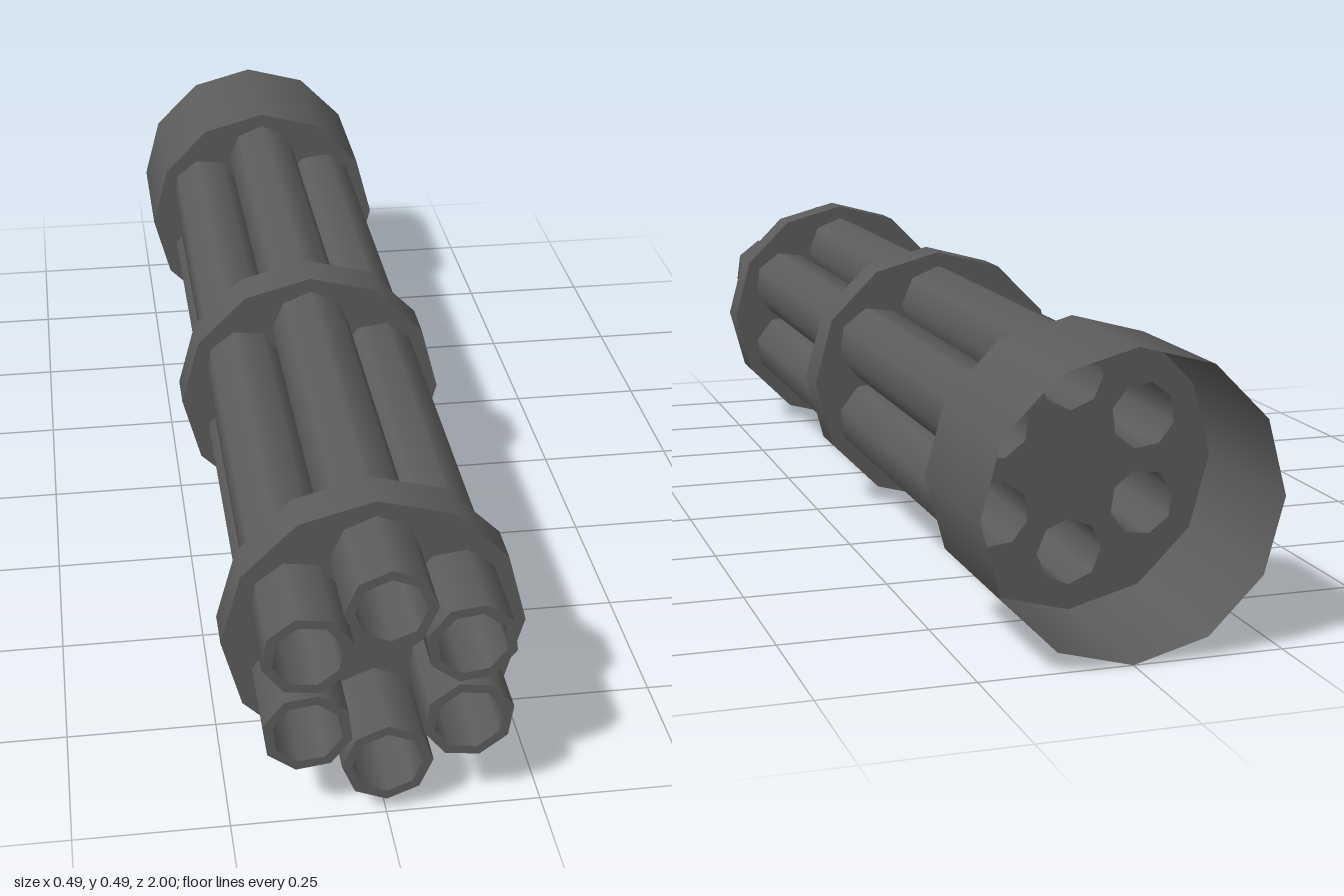
import * as THREE from 'three';

const BARREL_R = 0.073, BORE_R = 0.0565, ORBIT_R = 0.147, DRUM_R = 0.247;
const FRONT = 1, BACK = -1, PLATE_Z = -0.72;

export function createModel() {
  const model = new THREE.Group();
  model.name = 'rotaryBarrelCluster';

  const steel = new THREE.MeshStandardMaterial({ color: 0x5c5c5c, side: THREE.DoubleSide });
  steel.name = 'grey steel';
  const dark = new THREE.MeshStandardMaterial({ color: 0x333333, side: THREE.DoubleSide });
  dark.name = 'dark bore';

  const add = (parent, name, geometry, material = steel) => {
    const mesh = new THREE.Mesh(geometry, material);
    mesh.name = name;
    parent.add(mesh);
    return mesh;
  };

  // Smooth cylinder lying along z, between z0 and z1
  const tube = (r, sides, z0, z1, open = true) =>
    new THREE.CylinderGeometry(r, r, z1 - z0, sides, 1, open)
      .rotateX(Math.PI / 2).translate(0, 0, (z0 + z1) / 2);

  const polygon = (r, sides, cx = 0, cy = 0, turn = 0) =>
    Array.from({ length: sides }, (_, i) => {
      const a = turn + (i / sides) * Math.PI * 2;
      return new THREE.Vector2(cx + r * Math.cos(a), cy + r * Math.sin(a));
    });

  const angles = Array.from({ length: 6 }, (_, i) => Math.PI / 2 + (i * Math.PI) / 3);

  // Twelve-sided disc pierced by the six bores
  const plate = (z, flip = false) => {
    const shape = new THREE.Shape(polygon(DRUM_R, 12));
    for (const a of angles) {
      shape.holes.push(new THREE.Path(
        polygon(BORE_R, 8, ORBIT_R * Math.cos(a), ORBIT_R * Math.sin(a), a)));
    }
    const geometry = new THREE.ShapeGeometry(shape);
    if (flip) geometry.rotateY(Math.PI);
    return geometry.translate(0, 0, z);
  };

  // Six hollow barrels around the axis
  for (const a of angles) {
    const barrel = new THREE.Group();
    barrel.name = 'barrel';
    add(barrel, 'barrelOuter', tube(BARREL_R, 8, PLATE_Z, FRONT));
    add(barrel, 'barrelBore', tube(BORE_R, 8, PLATE_Z, FRONT));
    add(barrel, 'muzzleRim', new THREE.RingGeometry(BORE_R, BARREL_R, 8).translate(0, 0, FRONT));
    add(barrel, 'boreStop', new THREE.CircleGeometry(BORE_R, 8).translate(0, 0, 0.05), dark);
    barrel.position.set(ORBIT_R * Math.cos(a), ORBIT_R * Math.sin(a), 0);
    barrel.rotation.z = a;
    model.add(barrel);
  }

  // Central spindle, ending just proud of the front collar
  add(model, 'spindle', tube(BARREL_R, 8, PLATE_Z, 0.854, false));

  // Clamping collars
  for (const [z0, z1] of [[0.78, 0.852], [0.011, 0.09]]) {
    const collar = new THREE.Group();
    collar.name = 'collar';
    add(collar, 'collarBand', tube(DRUM_R, 12, z0, z1));
    add(collar, 'collarFront', plate(z1));
    add(collar, 'collarBack', plate(z0, true));
    model.add(collar);
  }

  // Rear drum, thin-walled and open at the back
  const drum = new THREE.Group();
  drum.name = 'rearDrum';
  add(drum, 'drumWall', tube(DRUM_R, 12, BACK, PLATE_Z));
  add(drum, 'drumPlate', plate(PLATE_Z));
  model.add(drum);

  // Rest on the ground
  model.children.forEach((part) => { part.position.y += DRUM_R; });
  return model;
}
